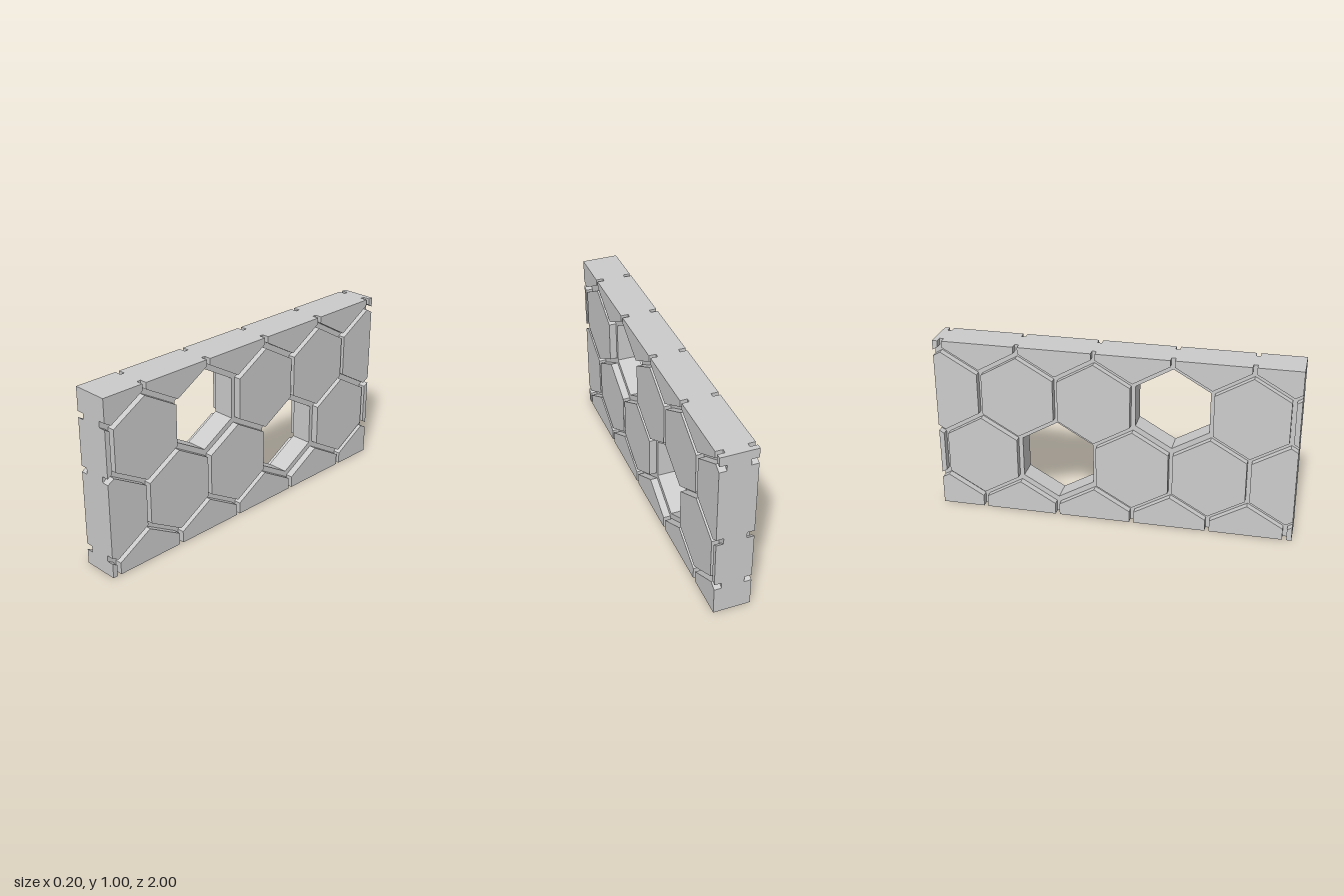
import * as THREE from 'three';

const HALF = 0.102;     // half thickness of the whole panel
const CORE = 0.062;     // half thickness at the bottom of the grooves
const APOTHEM = 0.2015;
const R = APOTHEM / Math.cos(Math.PI / 6);
const PITCH = 0.4267;   // spacing of the tiles along the panel
const ROW = 0.3765;     // spacing of the rows
const ROW0 = 0.3265;    // centre height of the lower full row

// pointed-top hexagon; u runs along the panel towards -z
function hexagon(u, y) {
  return Array.from({ length: 6 }, (_, i) => {
    const a = Math.PI / 6 + i * Math.PI / 3;
    return new THREE.Vector2(u + R * Math.cos(a), y + R * Math.sin(a));
  });
}

// cut a convex polygon along one straight limit
function cut(points, axis, limit, sign) {
  const out = [];
  points.forEach((a, i) => {
    const b = points[(i + 1) % points.length];
    const da = sign * (limit - a[axis]);
    const db = sign * (limit - b[axis]);
    if (da >= 0) out.push(a);
    if (da * db < 0) out.push(a.clone().lerp(b, da / (da - db)));
  });
  return out;
}

function clipToPanel(points) {
  points = cut(points, 'x', 1, 1);
  points = cut(points, 'x', -1, -1);
  points = cut(points, 'y', 1, 1);
  return cut(points, 'y', 0, -1);
}

// extrude an outline across the thickness, from x0 to x1
function slab(shape, x0, x1) {
  return new THREE.ExtrudeGeometry(shape, { depth: x1 - x0, bevelEnabled: false })
    .translate(0, 0, x0)
    .rotateY(Math.PI / 2);
}

export function createModel() {
  const group = new THREE.Group();
  group.name = 'hexagonPanel';
  const material = new THREE.MeshStandardMaterial({ color: 0xcccccc, flatShading: true });
  const add = (name, geometry) => {
    const mesh = new THREE.Mesh(geometry, material);
    mesh.name = name;
    group.add(mesh);
  };

  // core wall, pierced where two tiles are left open
  const wall = new THREE.Shape([[-1, 0], [1, 0], [1, 1], [-1, 1]].map(p => new THREE.Vector2(...p)));

  // raised tiles on both faces, trimmed at the panel edges
  for (let row = -1; row <= 2; row++) {
    const y = ROW0 + row * ROW;
    const start = row % 2 === 0 ? 0.32 : -0.32;
    for (let k = -4; k <= 4; k++) {
      const outline = hexagon(start + k * PITCH, y);
      if (k === 0 && (row === 0 || row === 1)) {
        wall.holes.push(new THREE.Path(outline.reverse()));
        continue;
      }
      const points = clipToPanel(outline);
      if (points.length < 3) continue;
      const shape = new THREE.Shape(points);
      add('leftTile', slab(shape, CORE, HALF));
      add('rightTile', slab(shape, -HALF, -CORE));
    }
  }
  add('coreWall', slab(wall, -CORE, CORE));
  return group;
}
